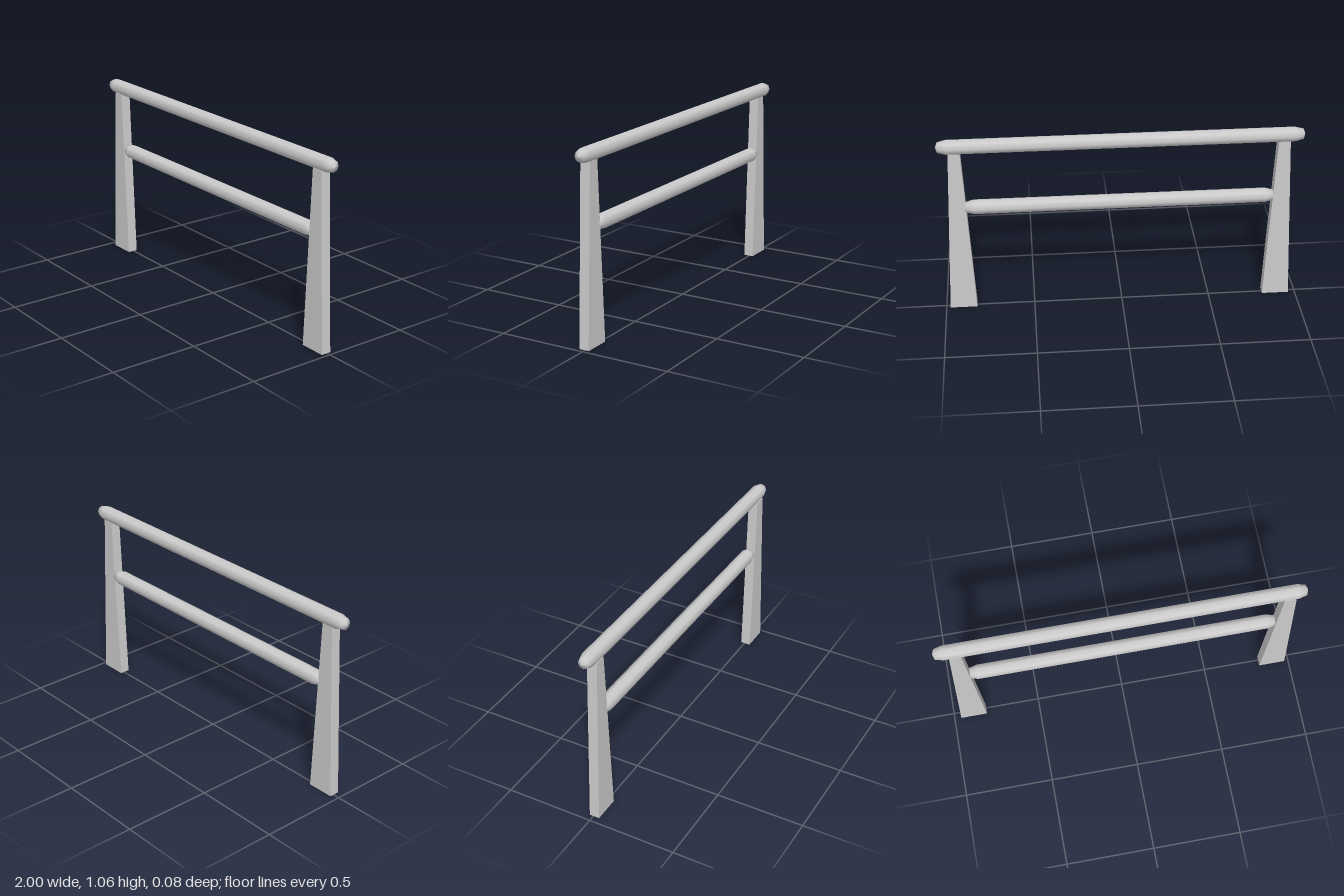
import * as THREE from 'three';

const material = new THREE.MeshStandardMaterial({ color: 0xcccccc });

// Eight-sided rail lying along x, with rounded ends
function makeRail(name, x, y, halfLength, radius) {
  const half = [[0, 0], [0.03, 0.011], [radius, 0.056]]; // radius, distance from the tip
  const profile = [
    ...half.map(([r, d]) => new THREE.Vector2(r, d - halfLength)),
    ...half.slice().reverse().map(([r, d]) => new THREE.Vector2(r, halfLength - d)),
  ];
  const rail = new THREE.Mesh(new THREE.LatheGeometry(profile, 8), material);
  rail.name = name;
  rail.rotation.z = Math.PI / 2;
  rail.position.set(x, y, 0.001);
  return rail;
}

// Post that narrows in width towards the top
function makePost(name, x) {
  const height = 0.985, bottom = 0.152, top = 0.064;
  const geometry = new THREE.BoxGeometry(bottom, height, 0.057);
  const p = geometry.attributes.position;
  for (let i = 0; i < p.count; i++) {
    if (p.getY(i) > 0) p.setX(i, p.getX(i) * top / bottom);
  }
  const flat = geometry.toNonIndexed();
  flat.computeVertexNormals();
  const post = new THREE.Mesh(flat, material);
  post.name = name;
  post.position.set(x, height / 2, 0.006);
  return post;
}

export function createModel() {
  const group = new THREE.Group();
  group.name = 'railing';
  group.add(
    makeRail('topRail', 0, 1.014, 1, 0.042),
    makeRail('lowerRail', 0.008, 0.641, 0.861, 0.042),
    makePost('rightPost', -0.886),
    makePost('leftPost', 0.902),
  );
  return group;
}
